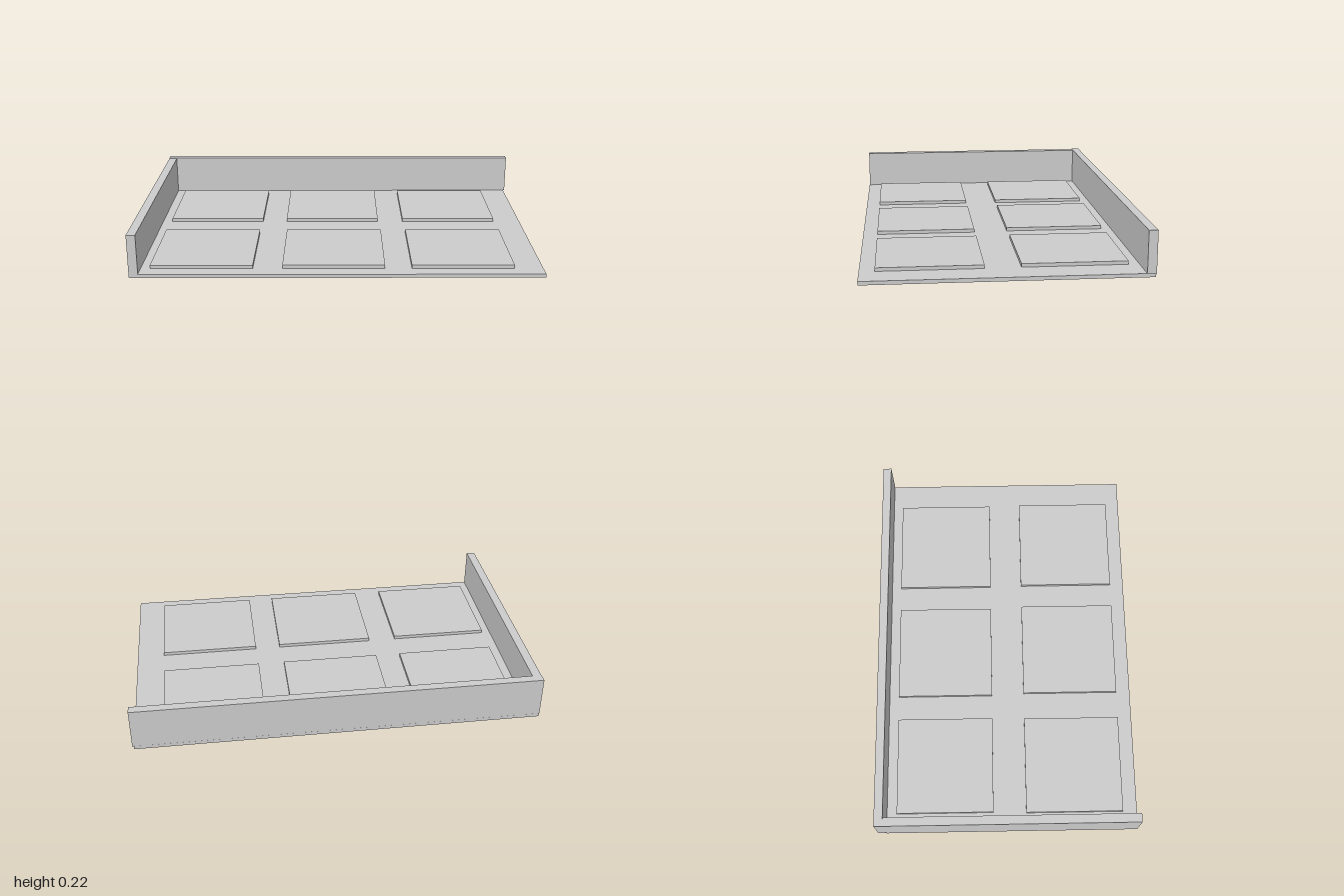
import * as THREE from 'three';

export function createModel() {
  const group = new THREE.Group();
  const material = new THREE.MeshStandardMaterial({ color: 0xcccccc, flatShading: true });

  // Adds a box given by its minimum and maximum on each axis.
  function addBox(name, [x0, x1], [y0, y1], [z0, z1]) {
    const mesh = new THREE.Mesh(new THREE.BoxGeometry(x1 - x0, y1 - y0, z1 - z0), material);
    mesh.position.set((x0 + x1) / 2, (y0 + y1) / 2, (z0 + z1) / 2);
    mesh.name = name;
    group.add(mesh);
  }

  // Floor slab and the two walls meeting at the back right corner
  addBox('floor', [-0.998, 0.993], [0, 0.018], [-0.664, 0.664]);
  addBox('backWall', [-1, 1], [0.019, 0.22], [-0.665, -0.622]);
  addBox('rightWall', [-1, -0.956], [0.001, 0.217], [-0.622, 0.662]);

  // Two rows of three square floor pads, slightly offset from each other
  const size = 0.497;
  const rows = [
    { name: 'backPad', z: -0.323, xs: [-0.657, -0.031, 0.601] },
    { name: 'frontPad', z: 0.343, xs: [-0.662, -0.022, 0.605] },
  ];
  for (const { name, z, xs } of rows) {
    xs.forEach((x, i) => addBox(`${name}${i + 1}`,
      [x - size / 2, x + size / 2], [0.018, 0.035], [z - size / 2, z + size / 2]));
  }

  return group;
}
